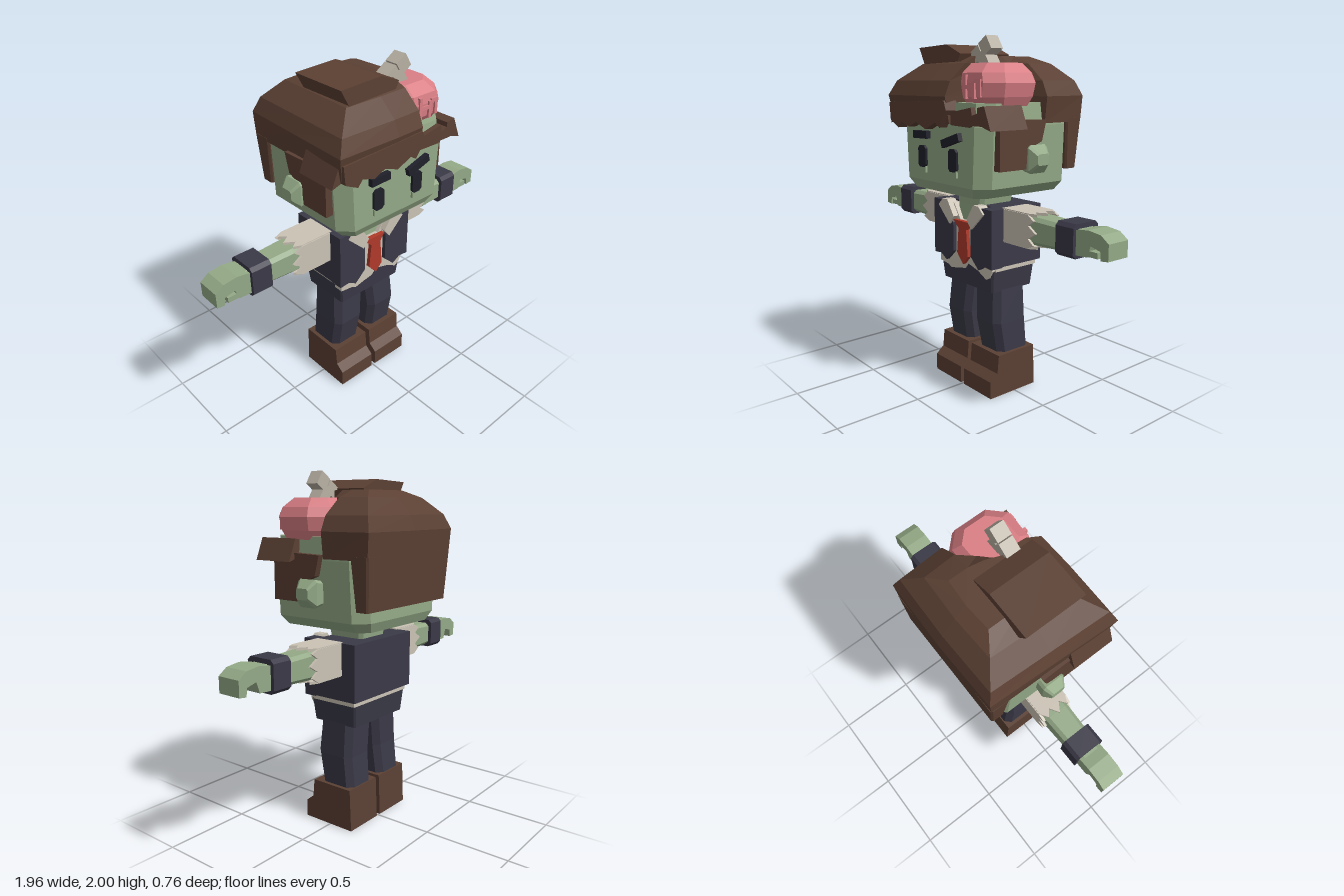
import * as THREE from 'three';

const mat = (name, color) => {
  const m = new THREE.MeshStandardMaterial({ color });
  m.name = name;
  return m;
};

export function createModel() {
  const model = new THREE.Group();
  model.name = 'figure';
  const skin = mat('skin green', 0x94aa87), hair = mat('hair brown', 0x5b4033);
  const suit = mat('suit navy', 0x3a3947), shirt = mat('shirt cream', 0xcbc3b5);
  const red = mat('tie red', 0xb03a2b), pink = mat('brain pink', 0xda7f85);
  const dark = mat('eye black', 0x20202b), bone = mat('bone grey', 0xb9b1a4);

  const add = (name, geo, material) => {
    const mesh = new THREE.Mesh(geo, material);
    mesh.name = name;
    model.add(mesh);
    return mesh;
  };
  // Box from its bounds
  const box = (name, m, x0, x1, y0, y1, z0, z1) => add(name,
    new THREE.BoxGeometry(Math.abs(x1 - x0), y1 - y0, z1 - z0)
      .translate((x0 + x1) / 2, (y0 + y1) / 2, (z0 + z1) / 2), m);
  // Front outline [x, y] extruded between z0 and z1
  const outline = pts => new THREE.Shape(pts.map(p => new THREE.Vector2(p[0], p[1])));
  const extrude = (pts, depth) => new THREE.ExtrudeGeometry(outline(pts), { depth, bevelEnabled: false });
  const front = (name, m, pts, z0, z1, s = 1) =>
    add(name, extrude(pts.map(([x, y]) => [x * s, y]), z1 - z0).translate(0, 0, z0), m);
  // Side outline [z, y] extruded between x0 and x1
  const side = (name, m, pts, x0, x1) => add(name, extrude(pts, Math.abs(x1 - x0))
    .rotateY(-Math.PI / 2).translate(Math.max(x0, x1), 0, 0), m);
  // Flat-shaded skin over stacked rings of [x, y, z], capped at both ends
  const loft = rings => {
    const out = [], n = rings[0].length;
    const tri = (...ps) => ps.forEach(p => out.push(...p));
    for (let r = 0; r + 1 < rings.length; r++) {
      for (let i = 0; i < n; i++) {
        const j = (i + 1) % n, a = rings[r], b = rings[r + 1];
        tri(a[i], a[j], b[j]);
        tri(a[i], b[j], b[i]);
      }
    }
    const cap = (ring, flip) => {
      const flat = ring.map(p => new THREE.Vector2(p[0], -p[2]));
      THREE.ShapeUtils.triangulateShape(flat, []).forEach(([a, b, c]) =>
        flip ? tri(ring[a], ring[c], ring[b]) : tri(ring[a], ring[b], ring[c]));
    };
    cap(rings[0], true);
    cap(rings[rings.length - 1], false);
    const g = new THREE.BufferGeometry();
    g.setAttribute('position', new THREE.Float32BufferAttribute(out, 3));
    g.computeVertexNormals();
    return g;
  };
  // Rectangle ring with cut corners
  const ring = (y, x0, x1, z0, z1, c) => [
    [x1, y, z1 - c], [x1, y, z0 + c], [x1 - c, y, z0], [x0 + c, y, z0],
    [x0, y, z0 + c], [x0, y, z1 - c], [x0 + c, y, z1], [x1 - c, y, z1]];
  const block = (name, m, rows) => add(name, loft(rows.map(r => ring(...r))), m);

  // Head and neck
  block('head', skin, [[1.17, -0.31, 0.31, -0.29, 0.3, 0.05], [1.225, -0.365, 0.365, -0.315, 0.33, 0.07],
    [1.54, -0.38, 0.38, -0.31, 0.33, 0.07], [1.66, -0.37, 0.37, -0.29, 0.31, 0.07]]);
  block('neck', skin, [[0.97, -0.09, 0.09, -0.1, 0.135, 0.02], [1.08, -0.11, 0.11, -0.11, 0.125, 0.02],
    [1.19, -0.13, 0.13, -0.12, 0.12, 0.02]]);

  // Hair cap with the front corner missing
  const capRing = (y, back, zb, wide, zf) => [
    [(back + wide) / 2, y, -0.08], [back, y, zb], [0, y, zb - 0.01], [-back, y, zb], [-(back + wide) / 2, y, 0],
    [-wide, y, zf], [-0.05, y, zf + 0.005], [Math.min(0.125, wide * 0.75), y, zf], [0.1, y, 0.09],
    [Math.min(0.19, back * 0.9), y, 0]];
  add('hairCap', loft([capRing(1.55, 0.385, -0.36, 0.4, 0.35), capRing(1.69, 0.39, -0.37, 0.425, 0.375),
    capRing(1.77, 0.355, -0.34, 0.385, 0.34), capRing(1.86, 0.25, -0.26, 0.27, 0.24),
    capRing(1.9, 0.15, -0.19, 0.15, 0.16)]), hair);
  block('hairBack', hair, [[1.29, -0.37, 0.37, -0.35, -0.27, 0.01], [1.57, -0.39, 0.39, -0.365, -0.25, 0.01]]);
  front('hairFlap', hair, [[-0.3, 1.95], [-0.04, 1.96], [0.08, 1.91], [0.06, 1.87], [-0.25, 1.86]], -0.1, 0.24);
  front('fringe', hair, [[-0.41, 1.65], [-0.4, 1.55], [-0.32, 1.51], [-0.29, 1.545], [-0.21, 1.52], [-0.14, 1.55],
    [-0.05, 1.515], [0.04, 1.555], [0.08, 1.53], [0.14, 1.62], [0.12, 1.67]], 0.3, 0.38);
  front('looseFringe', hair, [[0.13, 1.61], [0.3, 1.64], [0.31, 1.6], [0.4, 1.63], [0.43, 1.55], [0.3, 1.55],
    [0.285, 1.54], [0.13, 1.545]], 0.26, 0.345);
  for (const s of [1, -1]) {
    front('templeTuft', hair, [[0.35, 1.64], [0.405, 1.65], [0.455, 1.53], [0.42, 1.54], [0.35, 1.56]], 0.1, 0.345, s);
    side('sideburn', hair, [[0.25, 1.58], [0.25, 1.32], [0.07, 1.32], [0.06, 1.42], [-0.04, 1.46], [-0.07, 1.57]],
      s * 0.35, s * 0.415);
    // Ears
    add('ear', loft([ring(0.34, -0.06, 0.06, -0.06, 0.06, 0.015), ring(0.425, -0.075, 0.075, -0.065, 0.065, 0.015),
      ring(0.47, -0.03, 0.03, -0.04, 0.04, 0.01)]).rotateZ(-s * Math.PI / 2).translate(0, 1.37, 0), skin);
    // Eyes
    const eye = [[-0.035, 0.045], [-0.02, 0.06], [0.02, 0.06], [0.035, 0.045], [0.035, -0.045], [0.02, -0.06],
      [-0.02, -0.06], [-0.035, -0.045]].map(([x, y]) => [x + 0.14, y + 1.36]);
    front('eye', dark, eye, 0.32, 0.345, s);
    box('eyeBag', skin, s * 0.11, s * 0.17, 1.27, 1.305, 0.32, 0.342);
  }
  const brow = (x, y, w, tilt) => {
    const b = add('eyebrow', new THREE.BoxGeometry(w, 0.042, 0.035), dark);
    b.position.set(x, y, 0.34);
    b.rotation.z = tilt;
  };
  brow(-0.14, 1.48, 0.13, 0.02);
  brow(0.135, 1.465, 0.155, 0.3);

  // Exposed brain with raised folds, and the bone on top
  block('brain', pink, [[1.64, 0.1, 0.37, -0.03, 0.25, 0.06], [1.69, 0.08, 0.395, -0.065, 0.285, 0.08],
    [1.76, 0.07, 0.41, -0.07, 0.29, 0.08], [1.81, 0.07, 0.39, -0.06, 0.28, 0.08],
    [1.86, 0.09, 0.34, -0.02, 0.22, 0.06]]);
  for (const [x0, x1, y0, y1] of [[0.18, 0.2, 1.68, 1.8], [0.2, 0.25, 1.73, 1.75], [0.25, 0.27, 1.68, 1.77],
    [0.27, 0.3, 1.76, 1.78], [0.295, 0.315, 1.69, 1.78]]) box('brainFold', pink, x0, x1, y0, y1, 0.25, 0.298);
  for (const [x, y, w, h] of [[0.12, 1.905, 0.075, 0.07], [0.19, 1.947, 0.075, 0.08], [0.175, 1.87, 0.07, 0.1]]) {
    const b = add('bone', new THREE.BoxGeometry(w, h, 0.08), bone);
    b.position.set(x, y, 0.125);
    b.rotation.z = 0.58;
  }

  // Shirt, collar and tie
  box('shirtBody', shirt, -0.245, 0.245, 0.735, 1.0, -0.165, 0.13);
  front('shirtFront', shirt, [[-0.24, 1.08], [-0.1, 1.08], [-0.04, 0.99], [0.04, 0.99], [0.1, 1.08], [0.24, 1.08],
    [0.24, 0.74], [0.22, 0.7], [0.19, 0.685], [0.12, 0.72], [0.03, 0.745], [0, 0.71], [-0.06, 0.7], [-0.13, 0.685],
    [-0.16, 0.7], [-0.24, 0.71]], 0.1, 0.155);
  front('tie', red, [[-0.08, 0.99], [0.07, 0.99], [0.04, 0.945], [0.055, 0.79], [0.01, 0.74], [-0.045, 0.8],
    [-0.03, 0.945]], 0.15, 0.178);

  // Jacket
  box('jacketBack', suit, -0.265, 0.265, 0.765, 1.09, -0.185, 0.105);
  for (const s of [1, -1]) {
    front('jacketFront', suit, [[0.265, 1.09], [0.18, 1.09], [0.08, 0.97], [0.08, 0.8], [0.15, 0.735], [0.2, 0.765],
      [0.265, 0.76]], 0.1, 0.178, s);
    front('collar', shirt, [[0.12, 1.1], [0.165, 1.1], [0.205, 1.06], [0.1, 0.96], [0.06, 1.01]], 0.13, 0.19, s);
  }

  // Trousers and boots
  block('hips', suit, [[0.61, -0.225, 0.225, -0.155, 0.14, 0.01], [0.74, -0.24, 0.24, -0.165, 0.15, 0.01]]);
  for (const s of [1, -1]) {
    const leg = (y, a, b, z0, z1) => [y, Math.min(a * s, b * s), Math.max(a * s, b * s), z0, z1, 0.035];
    block('leg', suit, [leg(0.22, 0.04, 0.24, -0.14, 0.085), leg(0.42, 0.03, 0.24, -0.12, 0.12),
      leg(0.63, 0.01, 0.225, -0.12, 0.105)]);
    side('boot', hair, [[0.18, 0], [0.18, 0.1], [0.13, 0.14], [0.12, 0.245], [-0.145, 0.245], [-0.155, 0]],
      s * 0.015, s * 0.262);

    // Arms: torn sleeve, forearm, cuff, hand
    const torn = [[0.25, -0.09], [0.455, -0.09], [0.5, -0.07], [0.46, -0.04], [0.515, -0.005], [0.46, 0.03],
      [0.5, 0.06], [0.455, 0.09], [0.25, 0.09]].map(([x, v]) => [x * s, v]);
    for (let k = 0; k < 4; k++) {
      add('sleeve', extrude(torn, 0.015).translate(0, 0, 0.08).rotateX(k * Math.PI / 2).translate(0, 1, 0), shirt);
    }
    add('forearm', loft([ring(0.25, -0.075, 0.075, -0.075, 0.075, 0.02), ring(0.5, -0.075, 0.075, -0.075, 0.075, 0.02),
      ring(0.79, -0.065, 0.065, -0.065, 0.065, 0.02)]).rotateZ(-s * Math.PI / 2).translate(0, 1, 0), skin);
    add('cuff', loft([0.655, 0.775].map(x => ring(x, -0.088, 0.088, -0.09, 0.09, 0.02)))
      .rotateZ(-s * Math.PI / 2).translate(0, 1.003, 0), suit);
    front('hand', skin, [[0.76, 1.06], [0.85, 1.075], [0.93, 1.065], [0.98, 1.03], [0.98, 0.945], [0.935, 0.94],
      [0.93, 0.985], [0.87, 1], [0.85, 0.94], [0.76, 0.935]], -0.07, 0.07, s);
    box('thumb', skin, s * 0.83, s * 0.915, 0.945, 0.975, 0.02, 0.07);
  }
  return model;
}
